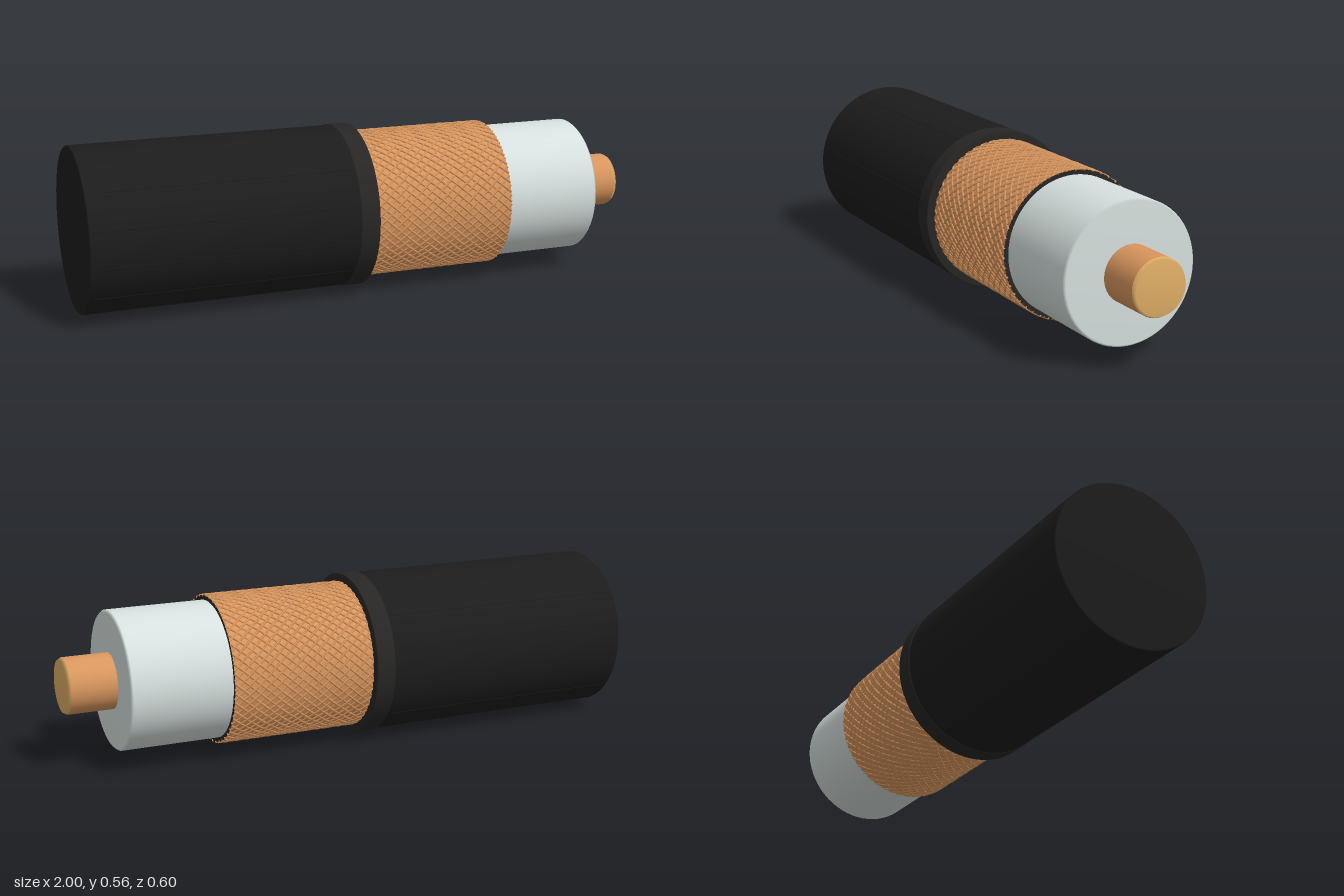
import * as THREE from 'three';
import { mergeGeometries } from 'three/addons/utils/BufferGeometryUtils.js';

const mat = (color) => new THREE.MeshStandardMaterial({ color });
const BLACK = mat(0x1c1c1c), DARK = mat(0x272625), COPPER = mat(0xd9965e);
const GOLD = mat(0xe0ae66), WHITE = mat(0xd6e0de);

// Solid of revolution about the cable axis; points are [radius, distance along the cable]
function turned(name, points, material, segments = 64) {
  const geo = new THREE.LatheGeometry(points.map(([r, s]) => new THREE.Vector2(r, s)), segments);
  const mesh = new THREE.Mesh(geo, material);
  mesh.name = name;
  return mesh;
}

// One braid strand: a helix that weaves over and under the crossing strands
class Strand extends THREE.Curve {
  constructor(start, sweep, dir, phase) {
    super();
    Object.assign(this, { start, sweep, dir, phase });
  }
  getPoint(t, target = new THREE.Vector3()) {
    const a = this.start + this.dir * this.sweep * t;
    const r = 0.2505 + 0.001 * Math.sin(t * Math.PI * 12 + this.phase);
    return target.set(r * Math.cos(a), -0.02 + 0.505 * t, r * Math.sin(a));
  }
}

export function createModel() {
  const cable = new THREE.Group();
  cable.name = 'cable';

  // Outer jacket with its open front lip, and the raised collar at the cut
  cable.add(turned('jacket', [[0, -0.99], [0.275, -0.99], [0.279, -0.985], [0.279, -0.02]], BLACK));
  cable.add(turned('collar', [
    [0.277, -0.085], [0.282, -0.083], [0.282, -0.08], [0.282, -0.02],
    [0.282, -0.017], [0.279, -0.015], [0.25, -0.015],
  ], DARK));

  // Faint lengthwise ridges on the jacket
  const ridges = [];
  for (let i = 0; i < 14; i++) {
    const a = (i / 14) * Math.PI * 2;
    const g = new THREE.CylinderGeometry(0.0025, 0.0025, 0.88, 6);
    g.translate(0.2775 * Math.cos(a), -0.535, 0.2775 * Math.sin(a));
    ridges.push(g);
  }
  const ridgeMesh = new THREE.Mesh(mergeGeometries(ridges), BLACK);
  ridgeMesh.name = 'jacketRidges';
  cable.add(ridgeMesh);

  // Braided shield: a sleeve, its cut edge, and two crossing sets of strands
  cable.add(turned('shieldSleeve', [[0.251, -0.03], [0.251, 0.485]], COPPER));
  cable.add(turned('shieldInnerFoil', [[0.251, 0.484], [0.234, 0.484]], DARK));
  const strands = [];
  const count = 48;
  for (const dir of [1, -1]) {
    for (let i = 0; i < count; i++) {
      const path = new Strand((i / count) * Math.PI * 2, 1.75, dir, dir > 0 ? 0 : Math.PI);
      strands.push(new THREE.TubeGeometry(path, 30, 0.0045, 5));
    }
  }
  const braid = new THREE.Mesh(mergeGeometries(strands), COPPER);
  braid.name = 'braidStrands';
  cable.add(braid);

  // White insulator and the centre conductor with its polished tip
  cable.add(turned('insulator', [[0.235, 0.45], [0.235, 0.822], [0.228, 0.83], [0, 0.83]], WHITE));
  cable.add(turned('conductor', [[0.0945, 0.82], [0.0945, 0.983]], COPPER, 40));
  cable.add(turned('conductorTip', [[0.0945, 0.983], [0.088, 0.995], [0, 0.995]], GOLD, 40));

  // Lay the cable along x, turned slightly toward the front
  cable.rotation.z = -Math.PI / 2;
  const model = new THREE.Group();
  model.name = 'strippedCable';
  model.add(cable);
  model.rotation.y = -0.044;
  model.position.set(0, 0.285, 0.021);
  return model;
}
